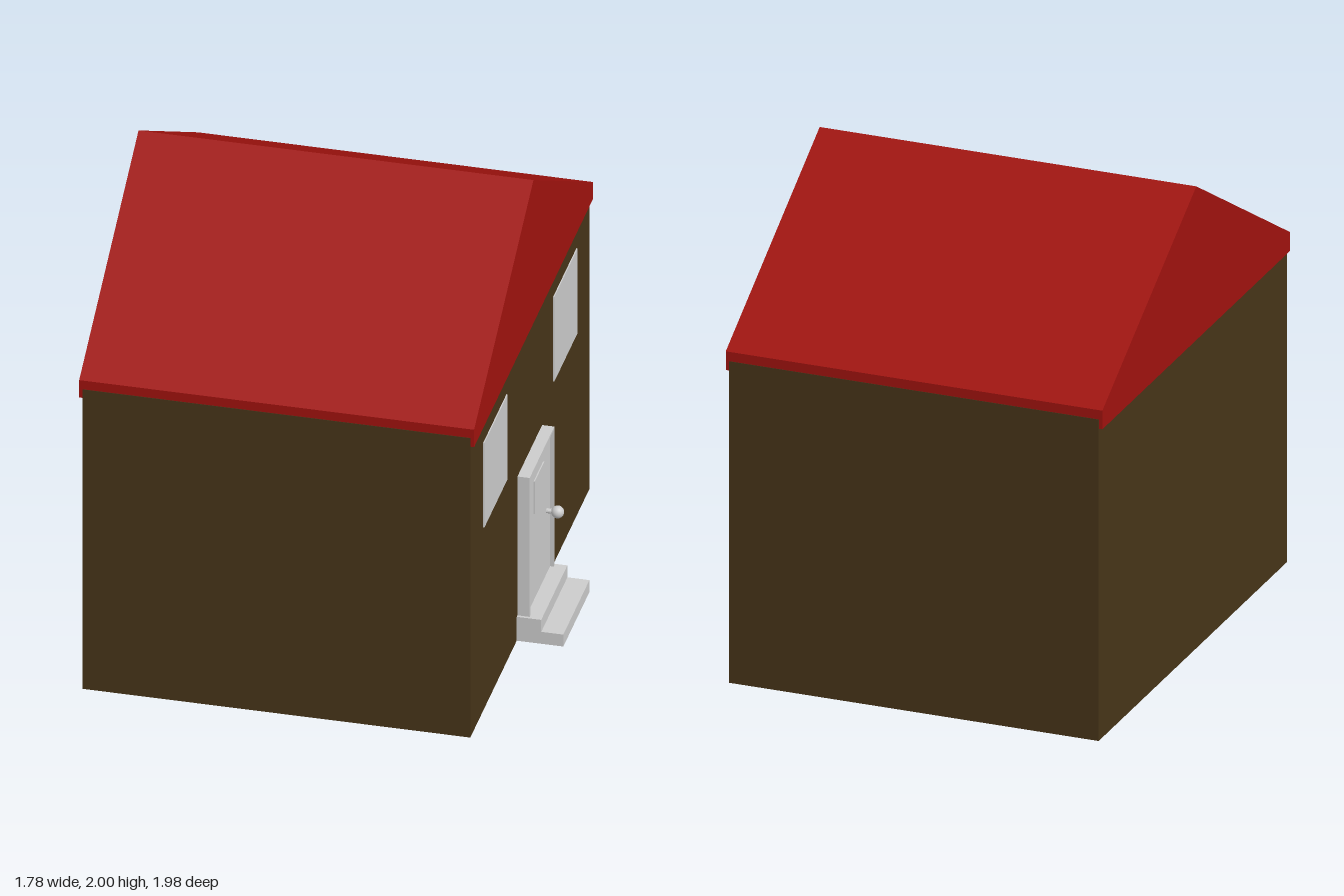
import * as THREE from 'three';

const paint = (color) => new THREE.MeshStandardMaterial({ color, flatShading: true });

export function createModel() {
  const house = new THREE.Group();
  house.name = 'house';
  const brown = paint(0x463418);
  const red = paint(0xa0120e);
  const grey = paint(0xcccccc);

  const add = (name, geometry, material) => {
    const mesh = new THREE.Mesh(geometry, material);
    mesh.name = name;
    house.add(mesh);
    return mesh;
  };
  // Box given by its lower and upper limits on each axis
  const box = (name, [x0, x1], [y0, y1], [z0, z1], material = grey) => {
    const mesh = add(name, new THREE.BoxGeometry(x1 - x0, y1 - y0, z1 - z0), material);
    mesh.position.set((x0 + x1) / 2, (y0 + y1) / 2, (z0 + z1) / 2);
    return mesh;
  };
  // Outline drawn in (z, y), extruded along x from x0 to x1
  const extrudeX = (name, shape, x0, x1, material) => {
    const geometry = new THREE.ExtrudeGeometry(shape, { depth: x1 - x0, bevelEnabled: false });
    geometry.rotateY(Math.PI / 2); // outline x becomes -z, depth becomes +x
    return add(name, geometry.translate(x0, 0, 0), material);
  };
  const outline = (points) => new THREE.Shape(points.map(([a, b]) => new THREE.Vector2(a, b)));

  // Walls
  box('walls', [-0.88, 0.7], [0, 1.38], [-0.988, 0.988], brown);

  // Gabled roof with a shallow eave band
  extrudeX('roof', outline([[-0.986, 1.34], [0.986, 1.34], [0.986, 1.42], [0, 2], [-0.986, 1.42]]),
    -0.895, 0.715, red);

  // Windows
  for (const side of [-1, 1]) {
    const z = side * 0.581;
    box('window', [0.69, 0.705], [0.845, 1.235], [z - 0.194, z + 0.194]);
  }

  // Door frame around a slightly recessed door
  const frame = outline([[-0.205, 0.1], [0.205, 0.1], [0.205, 0.75], [-0.205, 0.75]]);
  frame.holes.push(new THREE.Path(outline([
    [-0.195, 0.105], [-0.195, 0.74], [0.195, 0.74], [0.195, 0.105],
  ]).getPoints()));
  extrudeX('doorFrame', frame, 0.7, 0.75, grey);
  box('door', [0.69, 0.735], [0.1, 0.745], [-0.2, 0.2]);
  box('doorPanel', [0.73, 0.74], [0.51, 0.66], [-0.08, 0.08]);

  // Doorknob on a short stem
  const stem = add('knobStem', new THREE.CylinderGeometry(0.01, 0.01, 0.05, 12), grey);
  stem.rotation.z = Math.PI / 2;
  stem.position.set(0.755, 0.4, -0.137);
  const smoothGrey = new THREE.MeshStandardMaterial({ color: 0xcccccc });
  const knob = add('doorknob', new THREE.SphereGeometry(0.026, 20, 14), smoothGrey);
  knob.position.set(0.78, 0.4, -0.137);

  // Two doorsteps in one solid, running along z
  const steps = new THREE.ExtrudeGeometry(
    outline([[0.69, 0], [0.89, 0], [0.89, 0.055], [0.8, 0.055], [0.8, 0.11], [0.69, 0.11]]),
    { depth: 0.434, bevelEnabled: false });
  add('doorsteps', steps.translate(0, 0, -0.217), grey);

  return house;
}
